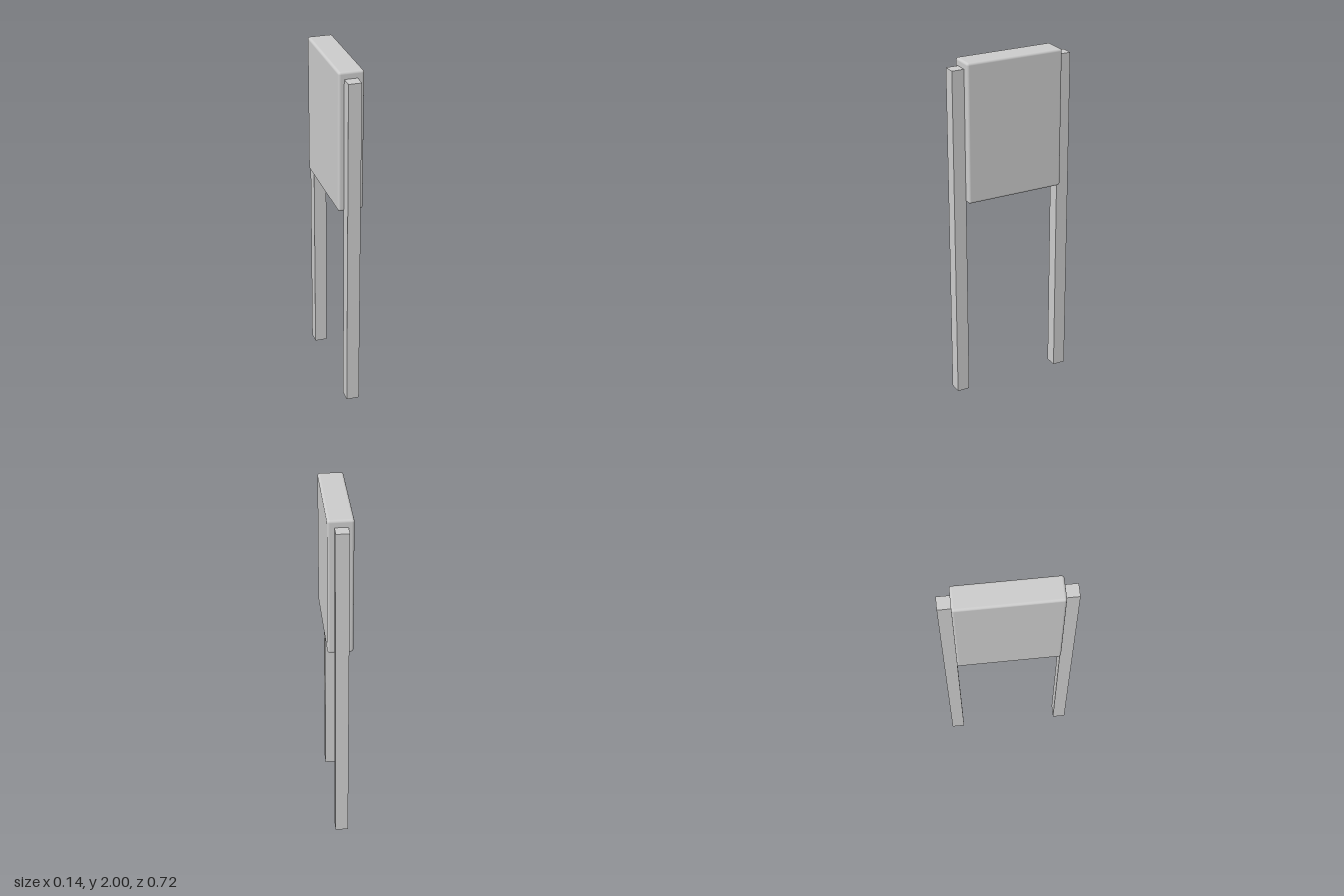
import * as THREE from 'three';
import { RoundedBoxGeometry } from 'three/addons/geometries/RoundedBoxGeometry.js';

export function createModel() {
  const model = new THREE.Group();
  model.name = 'signBoard';
  const material = new THREE.MeshStandardMaterial({ color: 0xcccccc });

  // Thick board with softly rounded edges
  const board = new THREE.Mesh(new RoundedBoxGeometry(0.142, 0.803, 0.578, 4, 0.014), material);
  board.name = 'board';
  board.position.y = 2 - 0.803 / 2;
  model.add(board);

  // Square posts against the two narrow sides of the board
  const postGeometry = new THREE.BoxGeometry(0.073, 1.96, 0.073);
  for (const [name, side] of [['frontPost', 1], ['backPost', -1]]) {
    const post = new THREE.Mesh(postGeometry, material);
    post.name = name;
    post.position.set(-0.003, 0.98, side * 0.3235);
    model.add(post);
  }

  return model;
}
